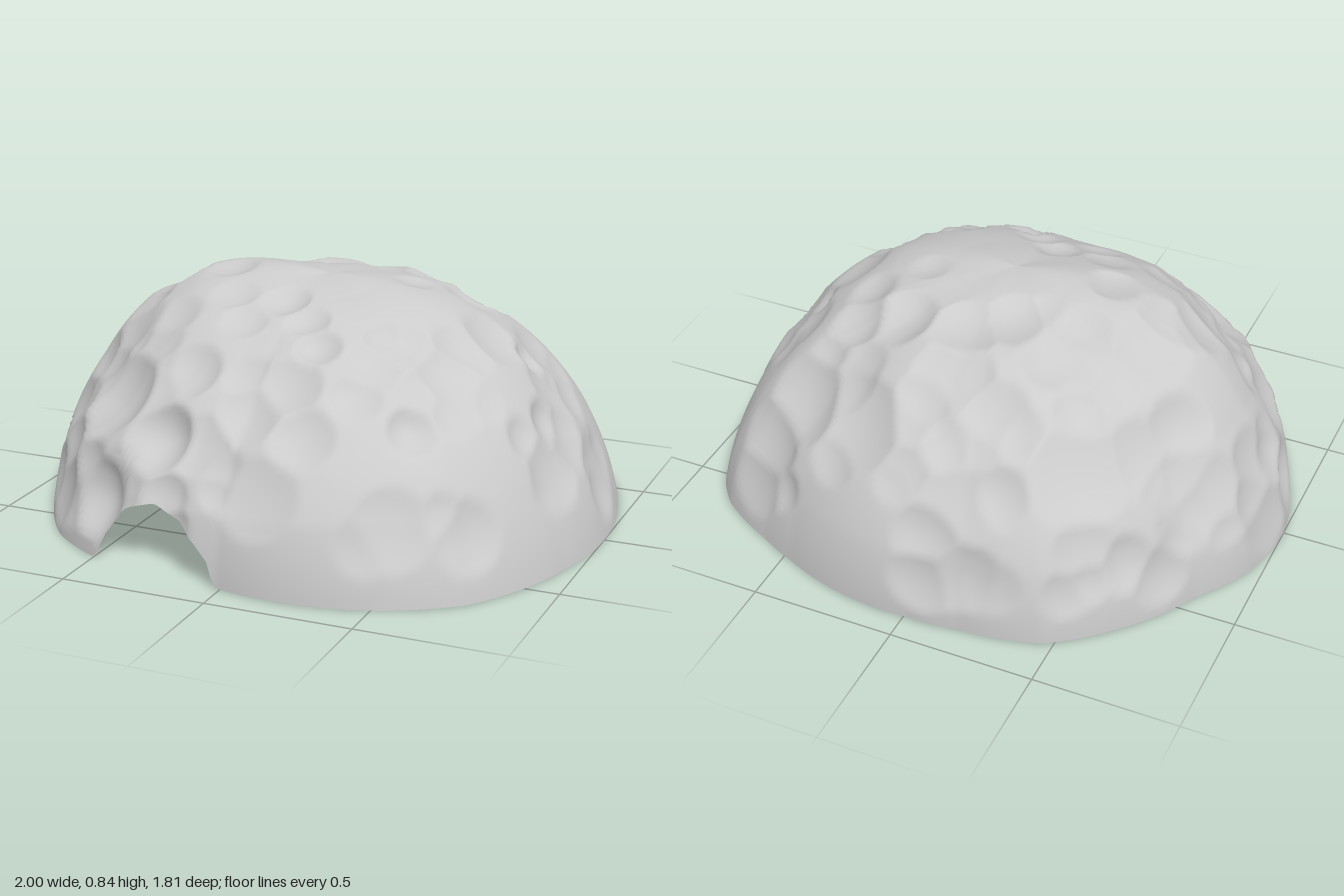
import * as THREE from 'three';

const COLS = 320, ROWS = 72, GROUND = 0.01;
const { lerp, clamp, degToRad, radToDeg } = THREE.MathUtils;

// Piecewise-linear lookup in sorted [key, value] pairs
function lookup(points, k) {
  for (let i = 1; i < points.length; i++) {
    const [k0, v0] = points[i - 1], [k1, v1] = points[i];
    if (k <= k1) return lerp(v0, v1, clamp((k - k0) / (k1 - k0), 0, 1));
  }
  return points[points.length - 1][1];
}

// Seeded random numbers
function seeded(seed) {
  return () => {
    seed = (seed * 1664525 + 1013904223) % 4294967296;
    return seed / 4294967296;
  };
}

// Distance from the centre every 15 degrees of elevation, for each side
const SIDES = {
  left: [1.0, 0.95, 0.918, 0.893, 0.874, 0.84, 0.822],
  right: [1.0, 0.985, 0.958, 0.957, 0.926, 0.866, 0.822],
  front: [0.9, 0.893, 0.852, 0.822, 0.805, 0.808, 0.822],
  back: [0.9, 0.9, 0.888, 0.877, 0.873, 0.832, 0.822],
};

// Footprint radius by azimuth in degrees, from +x round through +z
const RIM = [
  [0, 1], [17, 1.0], [30, 1.015], [43, 1.03], [57, 0.995], [78, 0.925], [91, 0.88],
  [102, 0.885], [116, 0.93], [136, 0.965], [149, 0.96], [163, 0.965], [173, 0.99], [180, 1],
  [194, 0.985], [207, 0.94], [225, 0.945], [241, 0.958], [258, 0.91], [270, 0.905],
  [276, 0.912], [300, 0.94], [309, 0.965], [322, 1.027], [328, 1.035], [342, 1.008], [360, 1],
];

// Height of the doorway edge along x
const DOOR = [
  [-0.47, 0], [-0.44, 0.07], [-0.42, 0.14], [-0.37, 0.19], [-0.28, 0.225],
  [-0.18, 0.19], [-0.1, 0.13], [-0.05, 0.08], [-0.025, 0],
];

// Large hollows: x, y, z, radius, depth
const HOLLOWS = [
  [-0.49, 0.19, 0.72, 0.15, 0.075], [-0.31, 0.42, 0.72, 0.15, 0.065], [-0.56, 0.5, 0.53, 0.2, 0.065],
  [0.0, 0.52, 0.64, 0.15, 0.035], [0.14, 0.69, 0.42, 0.1, 0.03], [0.33, 0.69, 0.3, 0.1, 0.03],
  [0.52, 0.49, 0.55, 0.1, 0.04], [0.53, 0.24, 0.76, 0.14, 0.025], [0.1, 0.3, 0.82, 0.16, 0.025],
  [0.27, 0.53, -0.66, 0.19, 0.04], [0.53, 0.5, -0.57, 0.19, 0.05], [0.66, 0.34, -0.65, 0.16, 0.04],
  [0.43, 0.7, -0.34, 0.13, 0.035], [0.7, 0.57, -0.12, 0.09, 0.035], [0.83, 0.42, 0.08, 0.1, 0.035],
  [0.0, 0.68, -0.5, 0.17, 0.03], [-0.3, 0.75, -0.3, 0.18, 0.025], [-0.5, 0.68, -0.12, 0.15, 0.025],
  [-0.6, 0.66, 0.1, 0.12, 0.03], [-0.95, 0.14, 0.14, 0.13, 0.04], [-0.9, 0.3, 0.02, 0.11, 0.035],
  [-0.5, 0.52, -0.6, 0.19, 0.03], [-0.75, 0.4, -0.35, 0.17, 0.03], [-0.15, 0.45, -0.8, 0.17, 0.025],
].map(([x, y, z, r, d]) => ({ dir: new THREE.Vector3(x, y, z).normalize(), r, d }));

// Broad shallow scattered dents
function scatterDents(count) {
  const rnd = seeded(71), dents = [];
  for (let i = 0; i < count; i++) {
    const a = rnd() * Math.PI * 2, y = 0.14 + rnd() * 0.83, h = Math.sqrt(1 - y * y);
    const r = 0.08 + rnd() * 0.07;
    dents.push({ dir: new THREE.Vector3(h * Math.cos(a), y, h * Math.sin(a)), r, d: r * (0.14 + rnd() * 0.12) });
  }
  return dents;
}

// Undented radius, blending the four sides and the footprint, flatter at the corners
function domeRadius(a, e) {
  const cx = Math.cos(a) ** 2, cz = 1 - cx;
  const sx = Math.cos(a) > 0 ? SIDES.left : SIDES.right;
  const sz = Math.sin(a) > 0 ? SIDES.front : SIDES.back;
  const k = clamp(e / degToRad(15), 0, 6), i = Math.min(5, Math.floor(k));
  const side = (s) => lerp(s[i], s[i + 1], k - i);
  const rim = lookup(RIM, radToDeg(a)) / (cx + 0.9 * cz);
  const flatten = 1 - 0.02 * Math.sin(2 * a) ** 2 * Math.sin(2 * e);
  return (side(sx) * cx + side(sz) * cz) * rim ** (Math.cos(e) ** 2) * flatten;
}

function domeGeometry() {
  const dents = [...HOLLOWS, ...scatterDents(130)];
  const pos = [], index = [], dir = new THREE.Vector3();
  const addPoint = (a, e) => {
    dir.set(Math.cos(e) * Math.cos(a), Math.sin(e), Math.cos(e) * Math.sin(a));
    let depth = 0;
    for (const { dir: c, r, d } of dents) {
      depth = Math.max(depth, d * (1 - dir.distanceToSquared(c) / (r * r)));
    }
    const p = dir.multiplyScalar(domeRadius(a, e) - depth);
    pos.push(p.x, p.y + GROUND, p.z);
  };

  // Rings start at the ground, or at the doorway edge, and even out higher up
  for (let j = 0; j < ROWS; j++) {
    const t = j / ROWS;
    for (let i = 0; i < COLS; i++) {
      const a = (i / COLS) * Math.PI * 2;
      const door = Math.sin(a) > 0 ? lookup(DOOR, 0.89 * Math.cos(a)) : 0;
      addPoint(a, (t * Math.PI) / 2 + Math.asin(door / 0.88) * (1 - t) ** 3);
    }
  }
  addPoint(0, Math.PI / 2);
  const apex = ROWS * COLS;
  for (let j = 0; j < ROWS; j++) {
    for (let i = 0; i < COLS; i++) {
      const p = j * COLS + i, q = j * COLS + ((i + 1) % COLS);
      if (j === ROWS - 1) index.push(p, apex, q);
      else index.push(p, p + COLS, q, q, p + COLS, q + COLS);
    }
  }
  const geo = new THREE.BufferGeometry();
  geo.setAttribute('position', new THREE.Float32BufferAttribute(pos, 3));
  geo.setIndex(index);
  geo.computeVertexNormals();
  return geo;
}

export function createModel() {
  const group = new THREE.Group();
  group.name = 'dentedDome';
  const material = new THREE.MeshStandardMaterial({ color: 0xcccccc, side: THREE.DoubleSide });
  const shell = new THREE.Mesh(domeGeometry(), material);
  shell.name = 'domeShell';
  group.add(shell);
  return group;
}
